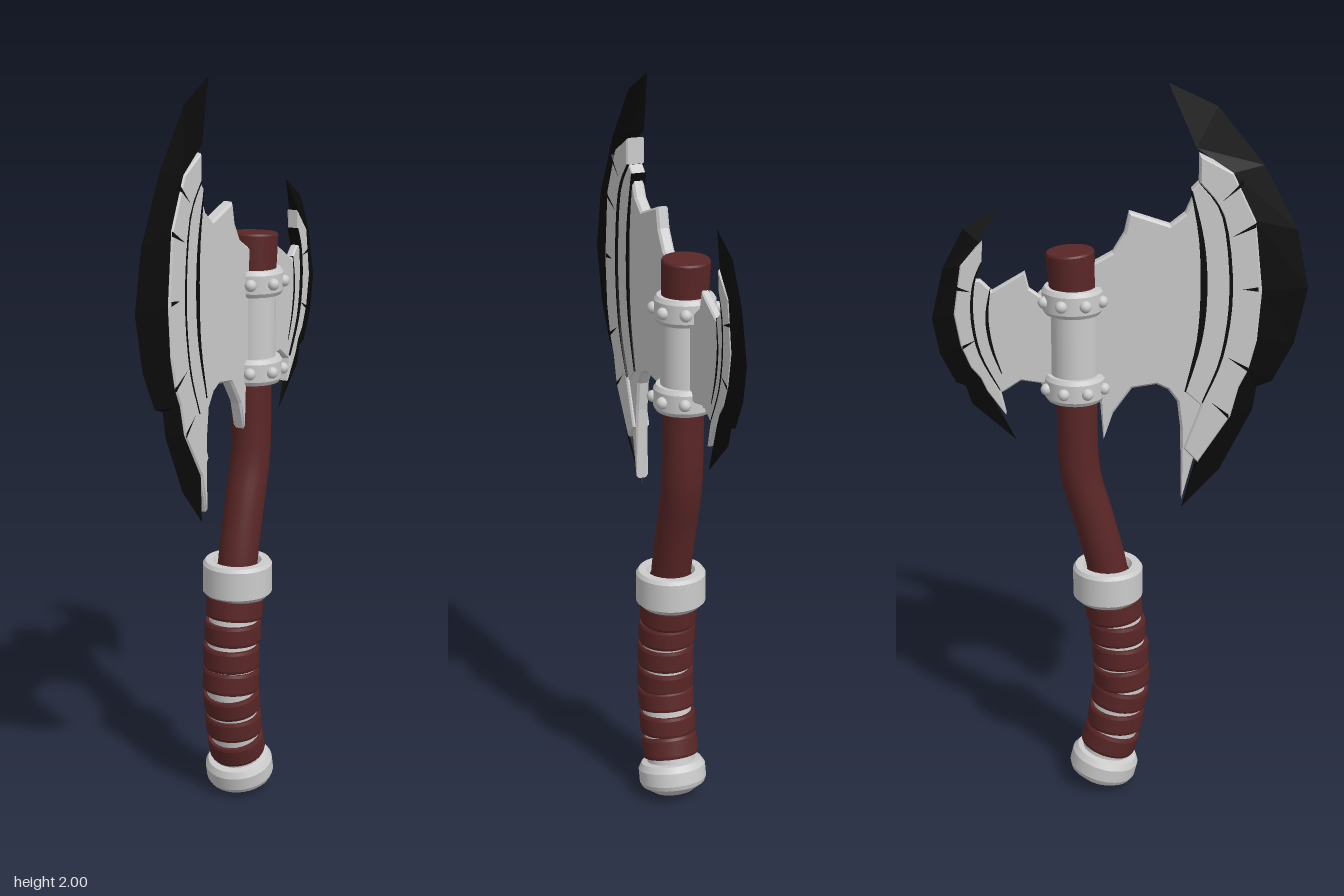
import * as THREE from 'three';

const V2 = (p) => new THREE.Vector2(p[0], p[1]);
const mat = (color, flatShading = false) => new THREE.MeshStandardMaterial({ color, flatShading });
const steel = mat(0xcccccc), flatSteel = mat(0xcccccc, true);
const wood = mat(0x5a2626), dark = mat(0x0b0b0b, true);
const smooth = (pts, n = 16) => new THREE.SplineCurve(pts.map(V2)).getPoints(n).map((v) => [v.x, v.y]);

function add(parent, name, geometry, material) {
  const mesh = new THREE.Mesh(geometry, material);
  mesh.name = name;
  parent.add(mesh);
  return mesh;
}

// Flat plate from a (z, y) outline, centred on x = 0, half thickness h
function plate(parent, name, pts, h, material = flatSteel, bevel = 0.006) {
  const g = new THREE.ExtrudeGeometry(new THREE.Shape(pts.map(V2)), {
    depth: 2 * (h - bevel), bevelEnabled: bevel > 0, bevelThickness: bevel,
    bevelSize: bevel, bevelOffset: -bevel, bevelSegments: 1,
  });
  g.translate(0, 0, -(h - bevel)).rotateY(-Math.PI / 2);
  return add(parent, name, g, material);
}

// Sharpened wedge between an outer cutting line and an inner line of half thickness h
function cuttingEdge(parent, name, outer, inner, h) {
  const pos = [];
  const n = outer.length;
  const at = (i) => {
    const t = i === 0 || i === n - 1 ? 0 : h;
    const [o, q] = [outer[i], inner[i]];
    return [[0, o[1], o[0]], [t, q[1], q[0]], [-t, q[1], q[0]]];
  };
  for (let i = 0; i < n - 1; i++) {
    const a = at(i), b = at(i + 1);
    for (let k = 0; k < 3; k++) {
      const m = (k + 1) % 3;
      pos.push(...a[k], ...b[k], ...b[m], ...a[k], ...b[m], ...a[m]);
    }
  }
  const g = new THREE.BufferGeometry();
  g.setAttribute('position', new THREE.Float32BufferAttribute(pos, 3));
  g.computeVertexNormals();
  const m = mat(0x0b0b0b, true);
  m.side = THREE.DoubleSide;
  add(parent, name, g, m);
}

// Thin dark groove along an arc, widest in the middle
function groove(parent, arc, width, h) {
  const c = smooth(arc);
  const off = (s) => c.map((p, i) => [p[0] + s * width * (0.25 + Math.sin(Math.PI * i / (c.length - 1))), p[1]]);
  plate(parent, 'groove', [...off(0.5), ...off(-0.5).reverse()], h, dark, 0);
}

function frontBlade() {
  const g = new THREE.Group();
  g.name = 'frontBlade';
  const outer = [[0.12, 2], [0.245, 1.94], [0.365, 1.79], [0.455, 1.62], [0.487, 1.465], [0.455, 1.315],
    [0.4, 1.21], [0.36, 1.195], [0.35, 1.13], [0.265, 0.96], [0.164, 0.85]];
  const inner = [[0.12, 2], [0.19, 1.84], [0.285, 1.775], [0.345, 1.65], [0.365, 1.465], [0.355, 1.33],
    [0.335, 1.25], [0.31, 1.2], [0.29, 1.12], [0.205, 0.99], [0.164, 0.85]];
  cuttingEdge(g, 'frontCuttingEdge', outer, inner, 0.02);
  const rim = [[0.2, 1.82], ...inner.slice(2, 10)];
  const bandArc = [[0.2, 1.75], [0.262, 1.66], [0.285, 1.465], [0.265, 1.29], [0.215, 1.16], [0.168, 1.03]];
  const midArc = [[0.18, 1.73], [0.207, 1.6], [0.215, 1.465], [0.205, 1.33], [0.17, 1.19]];
  // Body reaching from the shaft to beneath the bands
  plate(g, 'frontBladeBody', [[-0.12, 1.52], [-0.065, 1.545], [-0.02, 1.57], [0.01, 1.62], [0.022, 1.675],
    [0.127, 1.64], [0.165, 1.67], [0.2, 1.75], [0.28, 1.74], [0.34, 1.6], [0.35, 1.4], [0.3, 1.2], [0.2, 1.02],
    [0.164, 0.88], [0.16, 1.08], [0.15, 1.16], [0.125, 1.195], [0.095, 1.21], [0.03, 1.2], [-0.02, 1.13],
    [-0.045, 1.055], [-0.055, 1.18], [-0.12, 1.2]], 0.017);
  plate(g, 'frontMiddleBand', [...smooth(bandArc).slice(0, 14), ...smooth(midArc).reverse()], 0.02, flatSteel, 0.003);
  plate(g, 'frontOuterBand', [...rim, ...smooth(bandArc).reverse()], 0.025, flatSteel, 0.004);
  groove(g, midArc, 0.014, 0.0205);
  groove(g, bandArc.slice(0, 5), 0.007, 0.0253);
  // Short cracks across the outer band
  for (const [z, y, dz, dy] of [[0.345, 1.64, -0.06, -0.03], [0.355, 1.47, -0.04, 0], [0.335, 1.25, -0.055, 0.035],
    [0.31, 1.75, -0.05, -0.045], [0.285, 1.12, -0.045, 0.04]]) {
    plate(g, 'crack', [[z, y - 0.006], [z, y + 0.006], [z + dz, y + dy]], 0.0254, dark, 0);
  }
  return g;
}

function backBlade() {
  const g = new THREE.Group();
  g.name = 'backBlade';
  const outer = [[-0.31, 1.69], [-0.4, 1.635], [-0.455, 1.53], [-0.487, 1.395], [-0.47, 1.3], [-0.43, 1.22],
    [-0.405, 1.21], [-0.39, 1.16], [-0.275, 1.055]];
  const inner = [[-0.31, 1.69], [-0.36, 1.6], [-0.41, 1.54], [-0.43, 1.41], [-0.415, 1.325], [-0.39, 1.265],
    [-0.365, 1.235], [-0.35, 1.2], [-0.275, 1.055]];
  cuttingEdge(g, 'backCuttingEdge', outer, inner, 0.014);
  const bandArc = [[-0.355, 1.55], [-0.377, 1.49], [-0.383, 1.4], [-0.365, 1.3], [-0.315, 1.2]];
  const midArc = [[-0.335, 1.475], [-0.345, 1.4], [-0.335, 1.32], [-0.31, 1.245]];
  plate(g, 'backBladeBody', [[-0.12, 1.47], [-0.2, 1.45], [-0.235, 1.475], [-0.245, 1.52], [-0.33, 1.47],
    [-0.36, 1.5], [-0.4, 1.5], [-0.415, 1.4], [-0.38, 1.27], [-0.335, 1.18], [-0.305, 1.195], [-0.26, 1.225],
    [-0.2, 1.215], [-0.12, 1.23]].reverse(), 0.011, flatSteel, 0.004);
  plate(g, 'backOuterBand', [[-0.352, 1.6], ...inner.slice(2, 8), [-0.3, 1.13], ...smooth(bandArc).reverse()],
    0.016, flatSteel, 0.003);
  groove(g, bandArc, 0.006, 0.0163);
  groove(g, midArc, 0.007, 0.0116);
  for (const [z, y, dz, dy] of [[-0.42, 1.48, 0.035, -0.01], [-0.41, 1.32, 0.035, 0.02]]) {
    plate(g, 'crack', [[z, y + 0.005], [z, y - 0.005], [z + dz, y + dy]], 0.0164, dark, 0);
  }
  return g;
}

const lathe = (pts, n = 32) => new THREE.LatheGeometry(pts.map(V2), n);
const path = (pts) => new THREE.CatmullRomCurve3(pts.map(([z, y]) => new THREE.Vector3(0, y, z)));
// Turned profile with sharp corners: split every segment so normals stay crisp
function turned(parent, name, pts, material, z, y) {
  const group = new THREE.Group();
  group.name = name;
  group.position.set(0, y, z);
  for (let i = 0; i < pts.length - 1; i++) add(group, name + 'Section', lathe([pts[i], pts[i + 1]]), material);
  parent.add(group);
  return group;
}

export function createModel() {
  const model = new THREE.Group();
  model.name = 'doubleBladedAxe';
  model.add(frontBlade(), backBlade());

  // Bent wooden shaft and its top end
  const shaft = path([[-0.028, 0.62], [-0.036, 0.68], [-0.073, 0.83], [-0.107, 0.96], [-0.115, 1.17], [-0.122, 1.5]]);
  add(model, 'shaft', new THREE.TubeGeometry(shaft, 32, 0.054, 24), wood);
  turned(model, 'shaftTop', [[0.06, -0.08], [0.063, 0.045], [0.06, 0.05], [0, 0.05]], wood, -0.126, 1.523).rotation.x = -0.06;

  // Sleeve holding the blades, with two riveted rings
  turned(model, 'sleeve', [[0.062, 1.2], [0.062, 1.45]], steel, -0.119, 0);
  for (const y of [1.207, 1.445]) {
    const z = -0.119 - (y > 1.3 ? 0.004 : 0);
    turned(model, 'rivetedRing', [[0.05, -0.035], [0.073, -0.035], [0.08, -0.024], [0.08, 0.024], [0.073, 0.035],
      [0.05, 0.035]], steel, z, y);
    for (let i = 0; i < 8; i++) {
      const a = (i + 0.5) * Math.PI / 4;
      add(model, 'rivet', new THREE.SphereGeometry(0.016, 12, 8), steel)
        .position.set(0.081 * Math.cos(a), y, z + 0.081 * Math.sin(a));
    }
  }

  // Collar above the grip
  turned(model, 'collar', [[0.05, -0.055], [0.08, -0.055], [0.095, -0.04], [0.095, 0.038], [0.088, 0.048],
    [0.066, 0.048], [0.058, 0.03]], steel, -0.034, 0.638);

  // Curved grip core with leather wraps
  const grip = path([[-0.028, 0.62], [-0.006, 0.48], [0.004, 0.36], [-0.012, 0.22], [-0.045, 0.08]]);
  add(model, 'gripCore', new THREE.TubeGeometry(grip, 32, 0.068, 24), steel);
  const up = new THREE.Vector3(0, 1, 0);
  const wraps = [[0.115, 0.062, 0.05], [0.24, 0.058, 0.12], [0.37, 0.062, 0.1], [0.495, 0.06, -0.1],
    [0.615, 0.056, 0.06], [0.745, 0.058, -0.06], [0.875, 0.06, 0.05]];
  for (const [t, height, tilt] of wraps) {
    const h = height / 2;
    const w = turned(model, 'leatherWrap', [[0.064, -h], [0.075, -h], [0.078, -h + 0.008], [0.078, h - 0.008],
      [0.075, h], [0.064, h]], wood, 0, 0);
    w.position.copy(grip.getPointAt(t));
    w.quaternion.setFromUnitVectors(up, grip.getTangentAt(t).negate());
    w.rotateX(tilt);
  }

  // Tilted pommel
  turned(model, 'pommel', [[0, -0.047], [0.055, -0.047], [0.088, -0.025], [0.094, -0.012], [0.094, 0.025],
    [0.084, 0.042], [0.06, 0.046]], steel, -0.048, 0.061).rotation.x = 0.24;
  return model;
}
